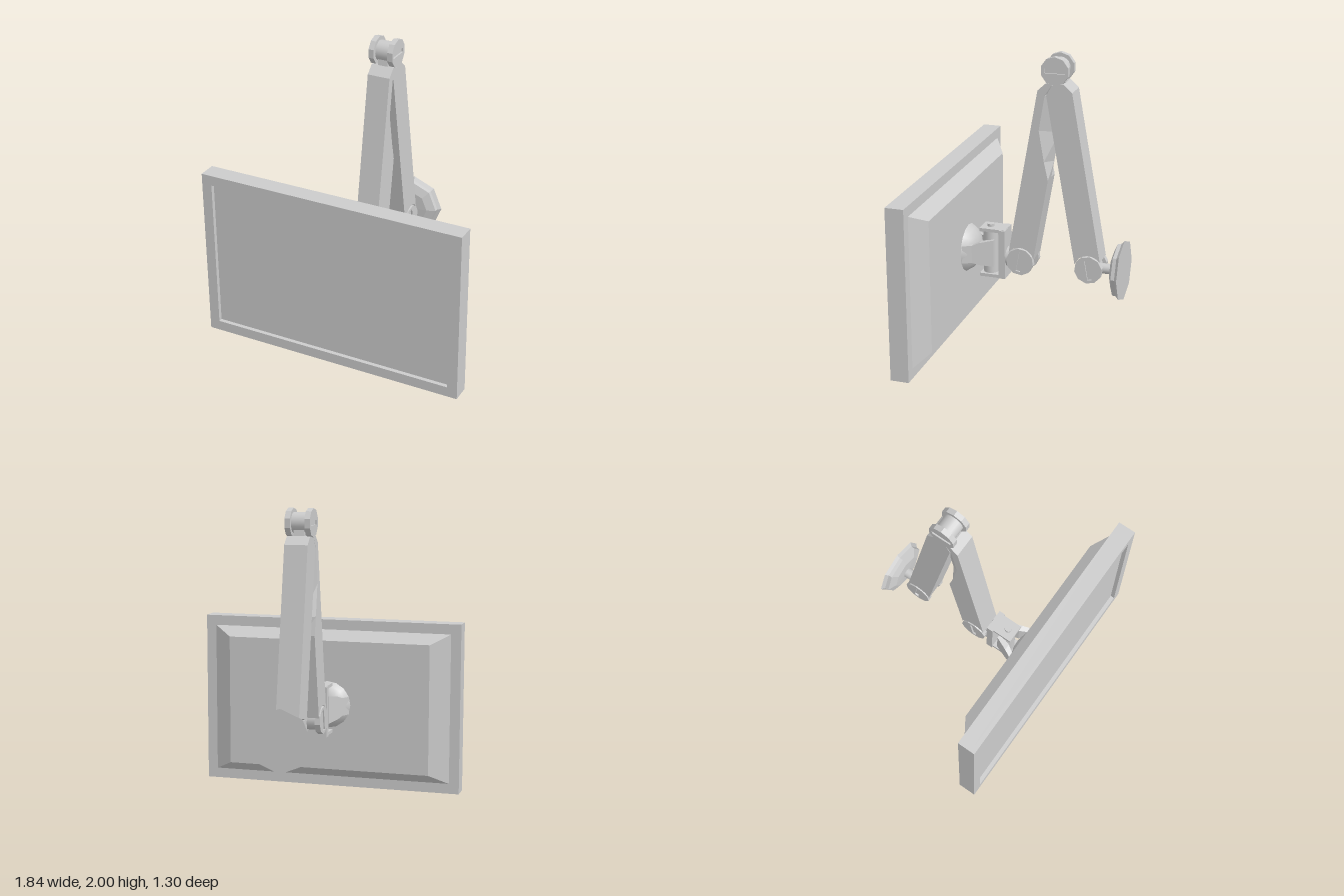
import * as THREE from 'three';

const mat = new THREE.MeshStandardMaterial({ color: 0xcccccc });
const flat = new THREE.MeshStandardMaterial({ color: 0xcccccc, flatShading: true });
const TILT = 0.174;

function add(parent, name, geo, x = 0, y = 0, z = 0, material = mat) {
  const m = new THREE.Mesh(geo, material);
  m.name = name;
  m.position.set(x, y, z);
  parent.add(m);
  return m;
}
const box = (w, h, d) => new THREE.BoxGeometry(w, h, d);
const cyl = (r, h, n = 20) => new THREE.CylinderGeometry(r, r, h, n);

// Extrude a shape drawn in the side plane (shape x -> +z, shape y -> +y), centred on x
function sideExtrude(shape, width, steps = 1) {
  const g = new THREE.ExtrudeGeometry(shape, { depth: width, steps, bevelEnabled: false, curveSegments: 8 });
  return g.translate(0, 0, -width / 2).rotateY(-Math.PI / 2);
}

function rectPath(Type, w, h) {
  return new Type([[-w, -h], [w, -h], [w, h], [-w, h]].map(([x, y]) => new THREE.Vector2(x / 2, y / 2)));
}

// Ten-sided disc outline
function discShape(r) {
  const pts = [];
  for (let i = 0; i < 10; i++) {
    const a = (i * Math.PI) / 5;
    pts.push(new THREE.Vector2(r * Math.cos(a), r * Math.sin(a)));
  }
  return new THREE.Shape(pts);
}

// Pivot: an axle between two slotted discs
function makeJoint(name, y, z, turn) {
  const g = new THREE.Group();
  g.name = name;
  g.position.set(0, y, z);
  g.rotation.x = turn;
  add(g, 'axle', cyl(0.068, 0.12).rotateZ(Math.PI / 2));
  const slotted = discShape(0.095);
  slotted.holes.push(rectPath(THREE.Path, 0.03, 0.14));
  for (const s of [-1, 1]) {
    add(g, 'jointDisc', sideExtrude(discShape(0.095), 0.025), s * 0.0605);
    add(g, 'slottedCap', sideExtrude(slotted, 0.012), s * 0.079);
  }
  return g;
}

// Arm: side profile with chamfered top and a concave foot around its joint
function makeArm(name, z, turn, notch) {
  const g = new THREE.Group();
  g.name = name;
  g.position.set(0, 0.57, z);
  g.rotation.x = turn;
  const w = 0.088, r = 0.099, a = Math.acos(w / r);
  const shape = new THREE.Shape();
  shape.moveTo(w, r * Math.sin(a));
  shape.lineTo(w, 1.203);
  shape.lineTo(0.04, 1.265);
  if (notch.length === 0) {
    shape.lineTo(-0.04, 1.265);
    shape.lineTo(-w, 1.203);
  }
  for (const [u, s] of notch) shape.lineTo(u, s);
  shape.lineTo(-w, r * Math.sin(a));
  shape.absarc(0, 0, r, Math.PI - a, a, true);
  const geo = sideExtrude(shape, 0.156, 2);
  // Scooped side: the middle of the face stays full, its edges are cut back
  const p = geo.attributes.position;
  for (let i = 0; i < p.count; i++) {
    if (Math.abs(p.getX(i)) > 0.01) continue;
    const hit = notch.some(([u, s]) => Math.abs(p.getZ(i) - u) < 1e-4 && Math.abs(p.getY(i) - s) < 1e-4);
    if (hit) p.setZ(i, p.getY(i) > 1.2 ? -0.04 : -w);
  }
  geo.computeVertexNormals();
  add(g, 'armBeam', geo, 0, 0, 0, flat);
  add(g, 'lowerTongue', box(0.07, 0.09, 0.1), 0, 0.08);
  add(g, 'upperTongue', box(0.07, 0.07, 0.08), 0, 1.28);
  return g;
}

function makeScreen() {
  const g = new THREE.Group();
  g.name = 'screen';
  g.position.y = 0.5925;
  const frame = rectPath(THREE.Shape, 1.84, 1.185);
  frame.holes.push(rectPath(THREE.Path, 1.7, 1.045));
  add(g, 'screenBezel', new THREE.ExtrudeGeometry(frame, { depth: 0.03, bevelEnabled: false }), 0, 0, 0.62);
  add(g, 'screenCase', box(1.84, 1.185, 0.097), 0, 0, 0.5735);
  // Rear cover tapers toward the back
  const cover = box(1.7, 1.045, 0.085);
  const p = cover.attributes.position;
  for (let i = 0; i < p.count; i++) {
    if (p.getZ(i) < 0) p.setXY(i, Math.sign(p.getX(i)) * 0.72, Math.sign(p.getY(i)) * 0.455);
  }
  cover.computeVertexNormals();
  add(g, 'rearCover', cover, 0, 0, 0.4825, flat);
  return g;
}

function makeSwivel() {
  const g = new THREE.Group();
  g.name = 'swivel';
  g.position.y = 0.6;
  // Dome on the rear cover
  const dome = [[0, 0.085], [0.05, 0.082], [0.1, 0.066], [0.14, 0.037], [0.165, 0]];
  add(g, 'mountDome', new THREE.LatheGeometry(dome.map(([r, h]) => new THREE.Vector2(r, h)).reverse(), 16)
    .rotateX(-Math.PI / 2), 0, 0, 0.44);
  // Splayed cheeks that hold the pin: [z, outer x, inner x, half height]
  const rows = [[0.24, 0.068, 0.035, 0.095], [0.33, 0.105, 0.06, 0.08], [0.375, 0.125, 0.09, 0.062], [0.435, 0.155, 0.12, 0.062]];
  for (const s of [-1, 1]) {
    const geo = new THREE.BoxGeometry(1, 1, 1, 1, 1, 3);
    const p = geo.attributes.position;
    for (let i = 0; i < p.count; i++) {
      const [z, outer, inner, h] = rows[Math.round((p.getZ(i) + 0.5) * 3)];
      p.setXYZ(i, p.getX(i) * s > 0 ? s * outer : s * inner, Math.sign(p.getY(i)) * h, z);
    }
    geo.computeVertexNormals();
    add(g, 'swivelCheek', geo, 0, 0, 0, flat);
    add(g, 'bracketPlate', box(0.13, 0.022, 0.18), 0, s * 0.163, 0.25);
  }
  add(g, 'swivelSleeve', cyl(0.05, 0.31), 0, 0, 0.28);
  add(g, 'swivelPin', cyl(0.024, 0.385), 0, 0, 0.28);
  add(g, 'bracketWall', box(0.15, 0.345, 0.045), 0, 0, 0.18);
  add(g, 'bracketCollar', cyl(0.07, 0.022, 10).rotateX(Math.PI / 2), 0, -0.03, 0.15);
  add(g, 'bracketStem', cyl(0.037, 0.12).rotateX(Math.PI / 2), 0, -0.03, 0.11);
  return g;
}

function makeWallMount() {
  const g = new THREE.Group();
  g.name = 'wallMount';
  g.position.set(0, 0.565, -0.65);
  // Eight-sided stepped plate
  const prof = [[0, 0], [0.21, 0], [0.188, 0.02], [0.185, 0.045], [0.125, 0.07], [0, 0.075]];
  add(g, 'wallPlate', new THREE.LatheGeometry(prof.map(([r, h]) => new THREE.Vector2(r, h)), 8)
    .rotateX(Math.PI / 2), 0, 0, 0, flat);
  add(g, 'wallStem', cyl(0.035, 0.13).rotateX(Math.PI / 2), 0, -0.002, 0.125);
  return g;
}

export function createModel() {
  const model = new THREE.Group();
  model.name = 'screenOnFoldingArm';
  const notch = [[0.0, 1.265], [0.035, 1.18], [0.033, 0.94], [-0.039, 0.738], [-0.088, 0.62]];
  model.add(
    makeScreen(),
    makeSwivel(),
    makeArm('frontArm', 0.05, -TILT, notch),
    makeArm('rearArm', -0.425, TILT, []),
    makeJoint('frontJoint', 0.57, 0.05, -TILT),
    makeJoint('rearJoint', 0.57, -0.425, TILT),
    makeJoint('topJoint', 1.905, -0.187, Math.PI / 2),
    makeWallMount()
  );
  return model;
}
